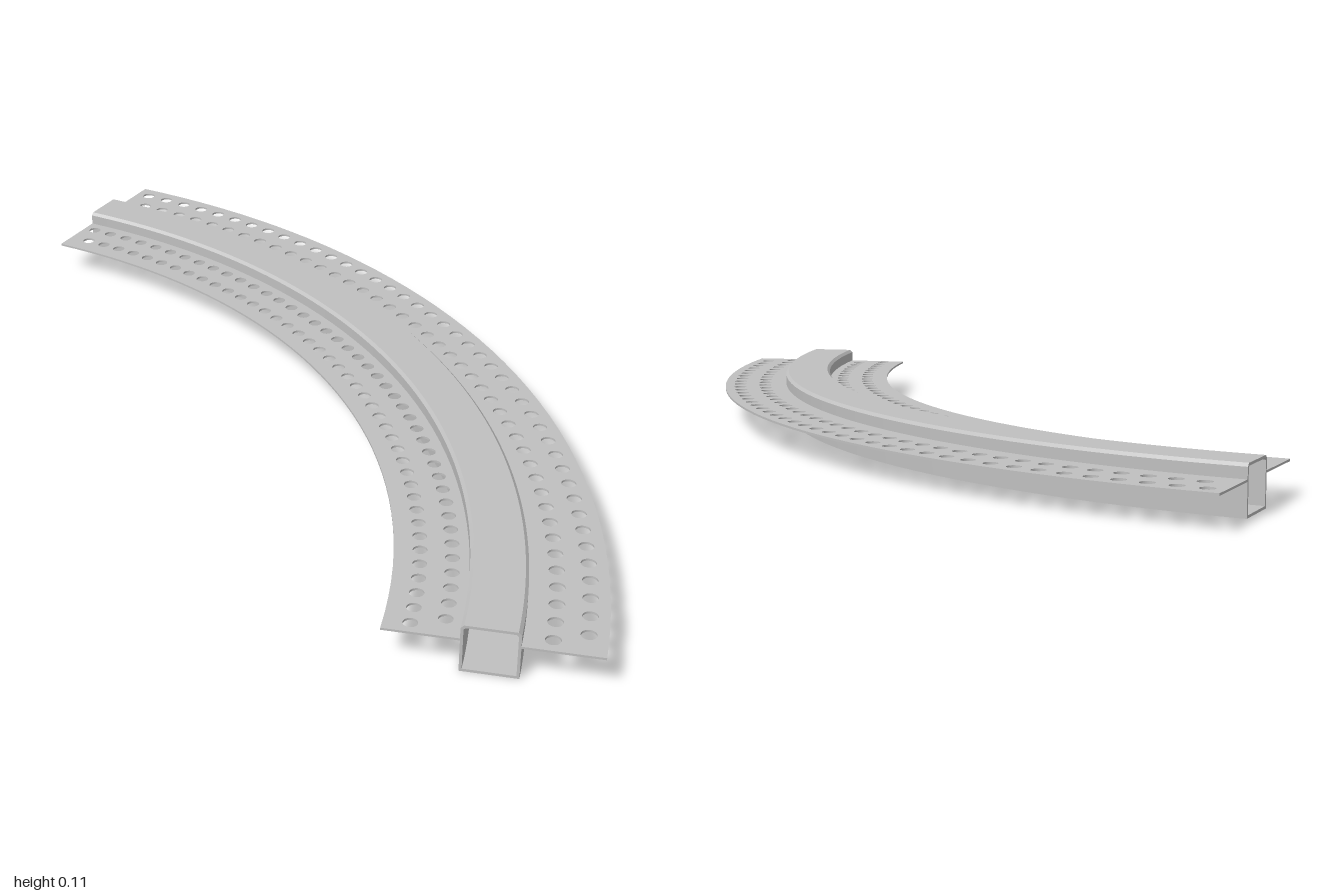
import * as THREE from 'three';
import { toCreasedNormals } from 'three/addons/utils/BufferGeometryUtils.js';

const SWEEP = THREE.MathUtils.degToRad(75);
const CX = -1.246, CZ = 1;            // centre of the bend
const R_IN = 1.628, R_OUT = 2.0706;   // edges of the flanges
const T_IN = 1.786, T_OUT = 1.906;    // walls of the tube
const HEIGHT = 0.11, WALL = 0.006, FLANGE_Y = 0.073, FLANGE_T = 0.005;

// Curved flat strip with two staggered rows of round holes
function flangeGeometry(r0, r1, rows, holeRadius) {
  const shape = new THREE.Shape();
  shape.absarc(0, 0, r1, 0, SWEEP, false);
  shape.absarc(0, 0, r0, SWEEP, 0, true);
  shape.closePath();
  const count = 42, step = THREE.MathUtils.degToRad(1.757);
  rows.forEach((r, k) => {
    const start = THREE.MathUtils.degToRad(k === 0 ? 1.02 : 1.9);
    for (let i = 0; i < count; i++) {
      const a = start + i * step;
      const hole = new THREE.Path();
      hole.absarc(r * Math.cos(a), r * Math.sin(a), holeRadius, 0, Math.PI * 2, true);
      shape.holes.push(hole);
    }
  });
  const geo = new THREE.ExtrudeGeometry(shape, { depth: FLANGE_T, bevelEnabled: false, curveSegments: 20 });
  return geo.rotateX(-Math.PI / 2);
}

// Rectangular section with small chamfers on the top corners, as (radius, height)
function section(inset, chamfer) {
  const a = T_IN + inset, b = T_OUT - inset, lo = inset, hi = HEIGHT - inset;
  return [[a, lo], [b, lo], [b, hi - chamfer], [b - chamfer, hi], [a + chamfer, hi], [a, hi - chamfer]]
    .map(([x, y]) => new THREE.Vector2(x, y));
}

function sweep(points) {
  const lathe = new THREE.LatheGeometry([...points, points[0]], 72, Math.PI / 2, SWEEP);
  return toCreasedNormals(lathe, 0.5);
}

export function createModel() {
  const model = new THREE.Group();
  const bend = new THREE.Group();
  bend.name = 'curvedChannel';
  bend.position.set(CX, 0, CZ);
  model.add(bend);

  const metal = new THREE.MeshStandardMaterial({ color: 0xc0c0c0, side: THREE.DoubleSide });
  metal.name = 'light grey metal';

  const add = (name, geometry) => {
    const mesh = new THREE.Mesh(geometry, metal);
    mesh.name = name;
    bend.add(mesh);
    return mesh;
  };

  // Hollow tube
  const outer = section(0, 0.007);
  const inner = section(WALL, 0.004).reverse();
  add('tubeOuterWalls', sweep(outer));
  add('tubeInnerWalls', sweep(inner));

  // Rims closing the wall thickness at both open ends
  const rim = new THREE.Shape(outer);
  rim.holes.push(new THREE.Path(inner));
  const rimGeometry = new THREE.ShapeGeometry(rim);
  add('frontRim', rimGeometry);
  add('backRim', rimGeometry).rotation.y = SWEEP;

  // Perforated flanges on both sides
  add('innerFlange', flangeGeometry(R_IN, T_IN, [1.683, 1.75], 0.0155)).position.y = FLANGE_Y;
  add('outerFlange', flangeGeometry(T_OUT, R_OUT, [1.964, 2.031], 0.0165)).position.y = FLANGE_Y;

  return model;
}
